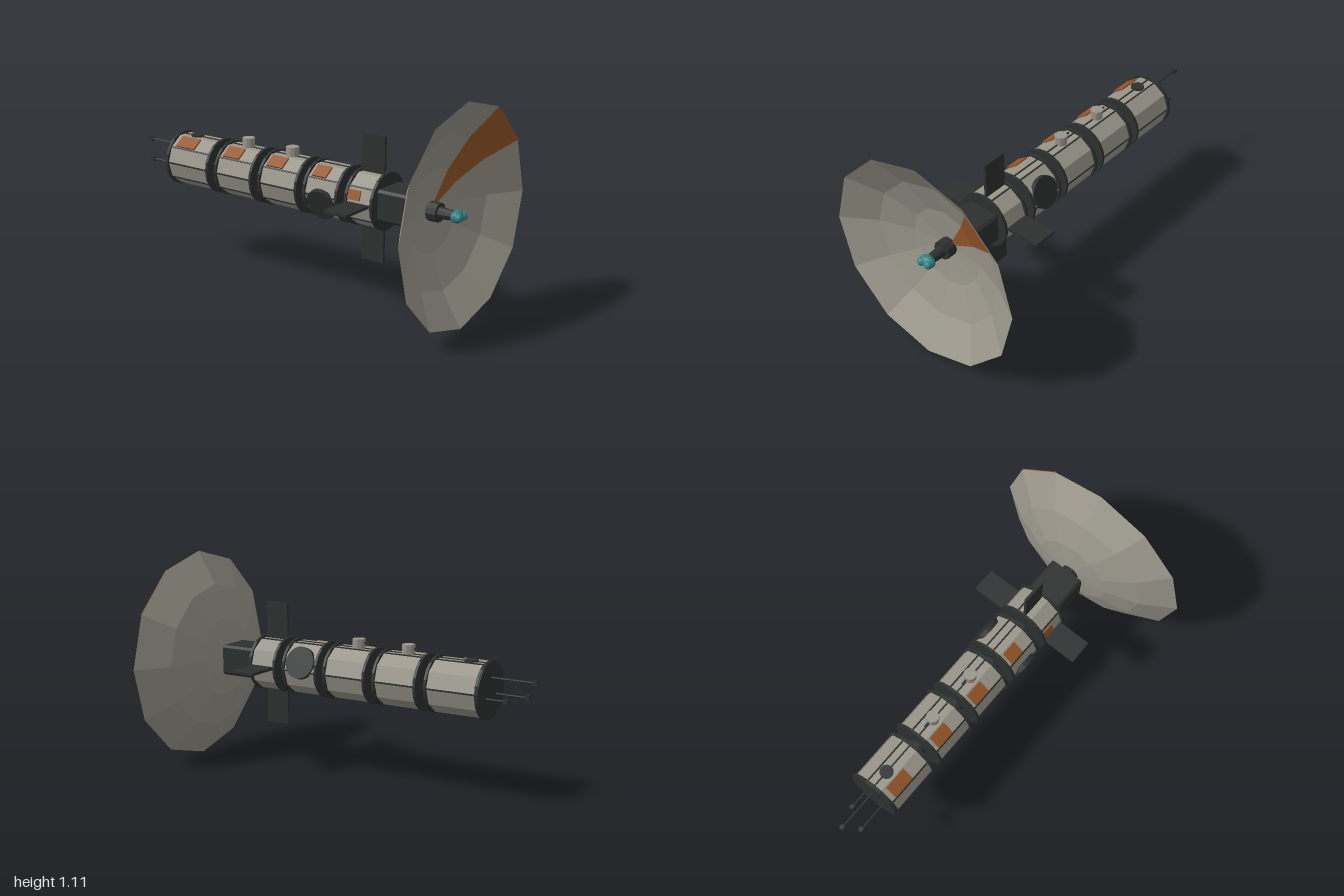
import * as THREE from 'three';

const AXIS_Y = 0.557;
const mat = (color, side = THREE.FrontSide) =>
  new THREE.MeshStandardMaterial({ color, flatShading: true, side });

export function createModel() {
  const model = new THREE.Group();
  const station = new THREE.Group(); // everything is placed around the long z axis
  station.name = 'station';
  station.position.y = AXIS_Y;
  model.add(station);

  const hull = mat(0x99958a), dark = mat(0x2c302f), orange = mat(0x955628), teal = mat(0x2f8285);
  const dishGrey = mat(0x99958a, THREE.DoubleSide), dishOrange = mat(0x955628, THREE.DoubleSide);

  const add = (name, geometry, material, x = 0, y = 0, z = 0, parent = station) => {
    const mesh = new THREE.Mesh(geometry, material);
    mesh.name = name;
    mesh.position.set(x, y, z);
    parent.add(mesh);
    return mesh;
  };
  // Cylinder lying along z between two stations
  const tube = (name, r0, r1, zBack, zFront, sides, material, x = 0, y = 0) =>
    add(name, new THREE.CylinderGeometry(r1, r0, zFront - zBack, sides)
      .rotateX(Math.PI / 2).rotateZ(Math.PI / 10), material, x, y, (zBack + zFront) / 2);
  // Box on the hull: its local x points outward at the given angle
  const onHull = (name, angle, radius, z, depth, width, length, material) => {
    const a = THREE.MathUtils.degToRad(angle);
    const mesh = add(name, new THREE.BoxGeometry(depth, width, length), material,
      Math.cos(a) * radius, Math.sin(a) * radius, z);
    mesh.rotation.z = a;
    return mesh;
  };

  // Central spine
  tube('spine', 0.048, 0.048, -0.5, 0.81, 10, dark);

  // Hull modules with end rings and seam strips
  const modules = [[0.405, 0.568], [0.153, 0.362], [-0.131, 0.115], [-0.42, -0.174], [-0.753, -0.464]];
  modules.forEach(([back, front]) => {
    tube('module', 0.137, 0.137, back + 0.003, front - 0.003, 10, hull);
    for (const z of [back, front - 0.014]) tube('moduleRing', 0.145, 0.145, z, z + 0.014, 20, dark);
    const mid = (back + front) / 2, length = front - back - 0.01;
    for (const a of [0, 72, 144, 180, 216, 288]) {
      onHull('seamStrip', a, 0.136, mid, 0.006, 0.008, length, dark);
    }
    for (const a of [90, 270]) onHull('seamStrip', a, 0.131, mid, 0.006, 0.008, length, dark);
  });
  tube('rearCap', 0.14, 0.14, -0.757, -0.75, 20, dark);

  // Orange hatch panels along the upper right side
  for (const [z, length] of [[-0.648, 0.125], [-0.333, 0.105], [-0.05, 0.1], [0.228, 0.085]]) {
    onHull('hatchPanel', 126, 0.132, z, 0.014, 0.07, length, orange);
  }
  onHull('smallHatchPanel', 162, 0.132, 0.455, 0.012, 0.05, 0.07, orange);

  // Round side ports, on opposite sides of the second module
  for (const angle of [20, 200]) {
    const a = THREE.MathUtils.degToRad(angle);
    const port = add('sidePort', new THREE.CylinderGeometry(0.083, 0.083, 0.025, 24).rotateZ(-Math.PI / 2),
      dark, Math.cos(a) * 0.128, Math.sin(a) * 0.128, 0.258);
    port.rotation.z = a;
  }
  add('topPort', new THREE.CylinderGeometry(0.035, 0.035, 0.02, 12), dark, 0, 0.13, -0.65);

  // Roof turrets with a short rearward rod
  for (const z of [-0.015, -0.302]) {
    add('turret', new THREE.CylinderGeometry(0.033, 0.033, 0.055, 10), hull, 0, 0.151, z);
    add('turretRod', new THREE.BoxGeometry(0.008, 0.008, 0.05), dark, 0, 0.158, z - 0.035);
  }

  // Four radial fins
  for (let i = 0; i < 4; i++) onHull('fin', i * 90, 0.22, 0.482, 0.2, 0.014, 0.13, dark);

  // Chamfered equipment box in front of the modules
  const w = 0.095, h = 0.079, c = 0.012;
  const outline = new THREE.Shape([[w, c - h], [w, h - c], [w - c, h], [c - w, h], [-w, h - c], [-w, c - h],
    [c - w, -h], [w - c, -h]].map(([x, y]) => new THREE.Vector2(x, y)));
  add('equipmentBox', new THREE.ExtrudeGeometry(outline, { depth: 0.21, bevelEnabled: false }), dark, 0, 0, 0.56);

  // Twelve-sided dish with one orange sector
  const profile = [[0, 0.8], [0.21, 0.826], [0.385, 0.887], [0.555, 0.992]].map(([r, z]) => new THREE.Vector2(r, z));
  add('dish', new THREE.LatheGeometry(profile, 12).rotateX(Math.PI / 2), dishGrey);
  add('dishSector', new THREE.LatheGeometry(profile, 1, Math.PI * 2 / 3, Math.PI / 6).rotateX(Math.PI / 2),
    dishOrange, 0, 0, 0.005);

  // Feed horn at the dish centre
  tube('feedBase', 0.048, 0.048, 0.79, 0.86, 10, dark);
  tube('feedNeck', 0.03, 0.022, 0.86, 0.95, 10, dark);
  add('feedHead', new THREE.SphereGeometry(1, 12, 8).scale(0.044, 0.032, 0.03), teal, 0, 0, 0.955);
  for (const s of [-1, 1]) {
    add('feedLobe', new THREE.SphereGeometry(0.021, 10, 8), teal, s * 0.021, 0, 0.973);
  }

  // Rear antennas with small cube tips
  for (const [x, y, z] of [[0, 0.063, -0.985], [-0.057, -0.027, -0.923], [0.053, -0.032, -0.863]]) {
    tube('antennaRod', 0.005, 0.005, z, -0.75, 6, dark, x, y);
    add('antennaTip', new THREE.BoxGeometry(0.022, 0.022, 0.022), dark, x, y, z);
  }

  return model;
}
